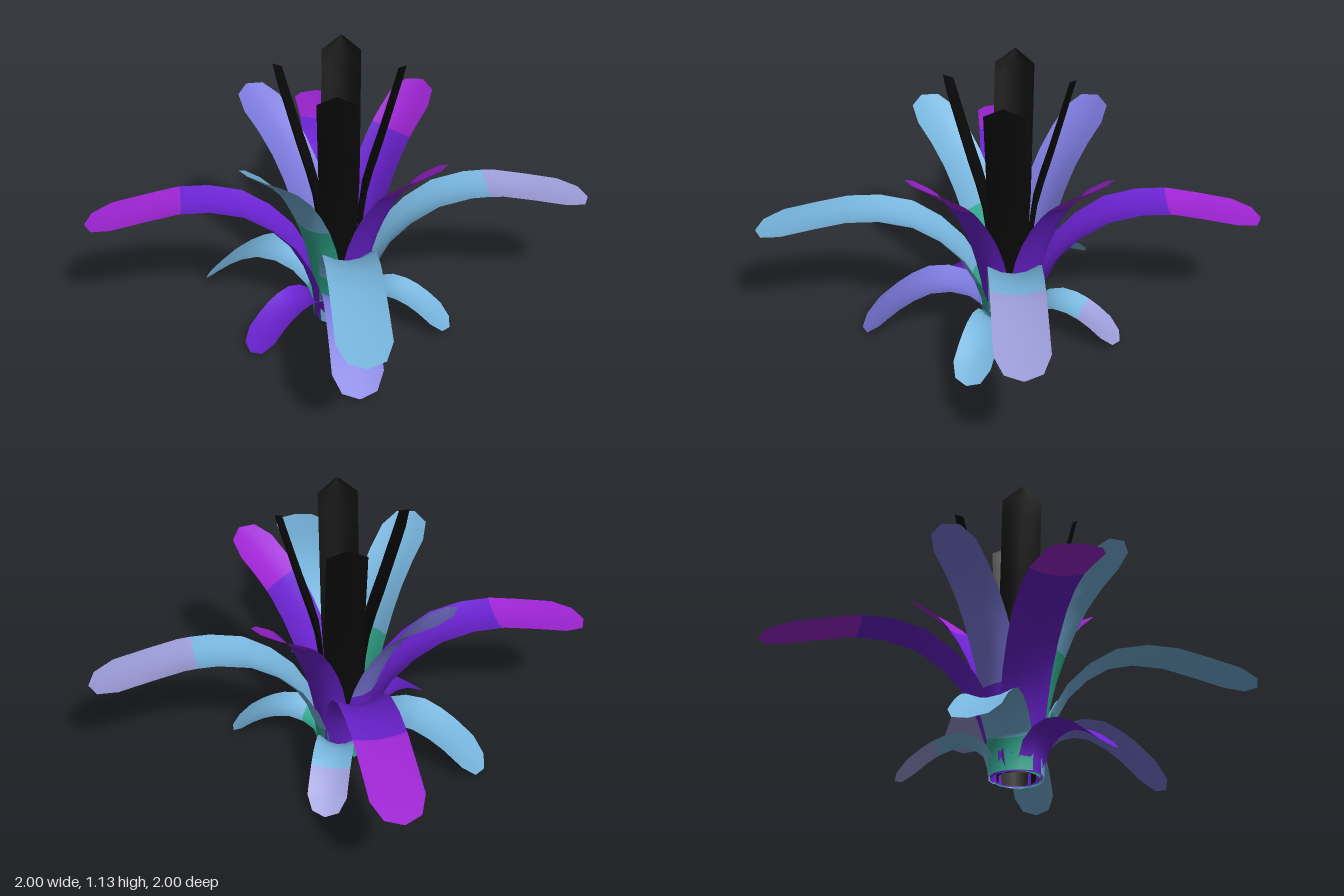
import * as THREE from 'three';

const paint = (name, color) => {
  const m = new THREE.MeshStandardMaterial({ color, side: THREE.DoubleSide });
  m.name = name;
  return m;
};

export function createModel() {
  const blue = paint('sky blue', 0x76b4dc);
  const teal = paint('teal', 0x32ad92);
  const purple = paint('purple', 0x6a22d0);
  const magenta = paint('magenta', 0x9e24d4);
  const periwinkle = paint('periwinkle', 0x7a78da);
  const lavender = paint('lavender', 0x9c9cd8);
  const black = paint('black', 0x0a0a0a);

  const group = new THREE.Group();
  const COLS = [-1, -0.5, 0, 0.5, 1];

  // A trough-shaped leaf swept along a (radius, height) profile.
  // bands: [end fraction along the leaf, material], from base to tip.
  function leaf(name, kind, degrees, bands) {
    const curve = new THREE.CatmullRomCurve3(kind.profile.map(([r, y]) => new THREE.Vector3(r, y, 0)), false, 'centripetal');
    const tip = kind.tip / curve.getLength();
    const tipRows = kind.pointed ? [1 - tip, 1] : [1 - tip, 1 - tip * 0.25, 1];
    const stops = new Set([...tipRows, ...bands.map(b => b[0])]);
    for (let i = 0; i < 10; i++) if (i / 10 < 1 - tip - 0.02) stops.add(i / 10);
    const rows = [...stops].sort((a, b) => a - b);

    const widthAt = u => {
      if (u <= 1 - tip) return THREE.MathUtils.lerp(kind.base, kind.width, Math.min(1, u * 2));
      const k = (u - 1 + tip) / tip;
      const f = kind.pointed ? 1 - k : k < 0.75 ? 1 - 0.3 * k / 0.75 : 0.775 - 0.1 * k / 0.75 - (k - 0.75) * 2.5;
      return kind.width * Math.max(0.04, f);
    };

    const pos = [], index = [];
    const geo = new THREE.BufferGeometry();
    rows.forEach((u, i) => {
      const p = curve.getPointAt(u), t = curve.getTangentAt(u), w = widthAt(u);
      const curl = THREE.MathUtils.lerp(kind.curl[0], kind.curl[1], u) * (w / kind.width) ** 2;
      for (const s of COLS) {
        pos.push(p.x - t.y * curl * s * s, Math.max(0, p.y + t.x * curl * s * s), w * s);
      }
      if (i === rows.length - 1) return;
      const start = index.length;
      for (let j = 0; j < COLS.length - 1; j++) {
        const a = i * COLS.length + j, c = a + COLS.length;
        index.push(a, a + 1, c, a + 1, c + 1, c);
      }
      const mid = (u + rows[i + 1]) / 2;
      geo.addGroup(start, index.length - start, bands.findIndex(b => mid < b[0]));
    });
    geo.setAttribute('position', new THREE.Float32BufferAttribute(pos, 3));
    geo.setIndex(index);
    geo.computeVertexNormals();

    const mesh = new THREE.Mesh(geo, bands.map(b => b[1]));
    mesh.name = name;
    mesh.rotation.y = -THREE.MathUtils.degToRad(degrees);
    group.add(mesh);
  }

  // Leaf shapes
  const long = {
    profile: [[0.1, 0], [0.12, 0.15], [0.215, 0.36], [0.4, 0.515], [0.6, 0.55], [0.8, 0.52], [1, 0.48]],
    base: 0.085, width: 0.102, curl: [0.055, 0.004], tip: 0.11,
  };
  const upright = {
    profile: [[0.09, 0], [0.11, 0.2], [0.17, 0.43], [0.3, 0.68], [0.5, 0.87]],
    base: 0.08, width: 0.098, curl: [0.05, 0.012], tip: 0.1,
  };
  const lowWide = {
    profile: [[0.108, 0], [0.115, 0.1], [0.18, 0.18], [0.29, 0.21], [0.4, 0.17], [0.6, 0.015]],
    base: 0.085, width: 0.1, curl: [0.05, 0.004], tip: 0.1,
  };
  const lowNarrow = {
    profile: [[0.106, 0], [0.125, 0.095], [0.2, 0.143], [0.3, 0.125], [0.465, 0.015]],
    base: 0.075, width: 0.078, curl: [0.04, 0.004], tip: 0.08,
  };
  const core = {
    profile: [[0.075, 0], [0.085, 0.3], [0.105, 0.55], [0.18, 0.85], [0.25, 1.13]],
    base: 0.05, width: 0.077, curl: [0.03, 0.015], tip: 0.055, pointed: true,
  };

  // Dark blades in the middle
  for (let i = 0; i < 4; i++) leaf('coreBlade', core, 98 + 90 * i, [[1, black]]);

  // Upright leaves
  leaf('uprightLeafFrontLeft', upright, 48, [[0.74, purple], [1, magenta]]);
  leaf('uprightLeafFrontRight', upright, 138, [[0.5, teal], [1, blue]]);
  leaf('uprightLeafBackRight', upright, 228, [[0.35, purple], [1, periwinkle]]);
  leaf('uprightLeafBackLeft', upright, 318, [[0.76, purple], [1, magenta]]);

  // Long arching leaves
  leaf('longLeafLeft', long, 0, [[0.11, teal], [0.66, blue], [1, lavender]]);
  leaf('longLeafFront', long, 90.5, [[0.2, teal], [1, blue]]);
  leaf('longLeafRight', long, 180.5, [[0.69, purple], [1, magenta]]);
  leaf('longLeafBack', long, 270, [[0.69, purple], [1, magenta]]);

  // Low drooping leaves
  leaf('lowLeafFront', lowWide, 88.5, [[0.15, blue], [1, periwinkle]]);
  leaf('lowLeafRight', lowWide, 210, [[0.18, teal], [1, blue]]);
  leaf('smallLeafLeft', lowNarrow, 24, [[0.3, teal], [1, blue]]);
  leaf('smallLeafRight', lowNarrow, 145, [[1, purple]]);
  leaf('smallLeafBack', lowNarrow, 291, [[0.6, blue], [1, lavender]]);

  return group;
}
